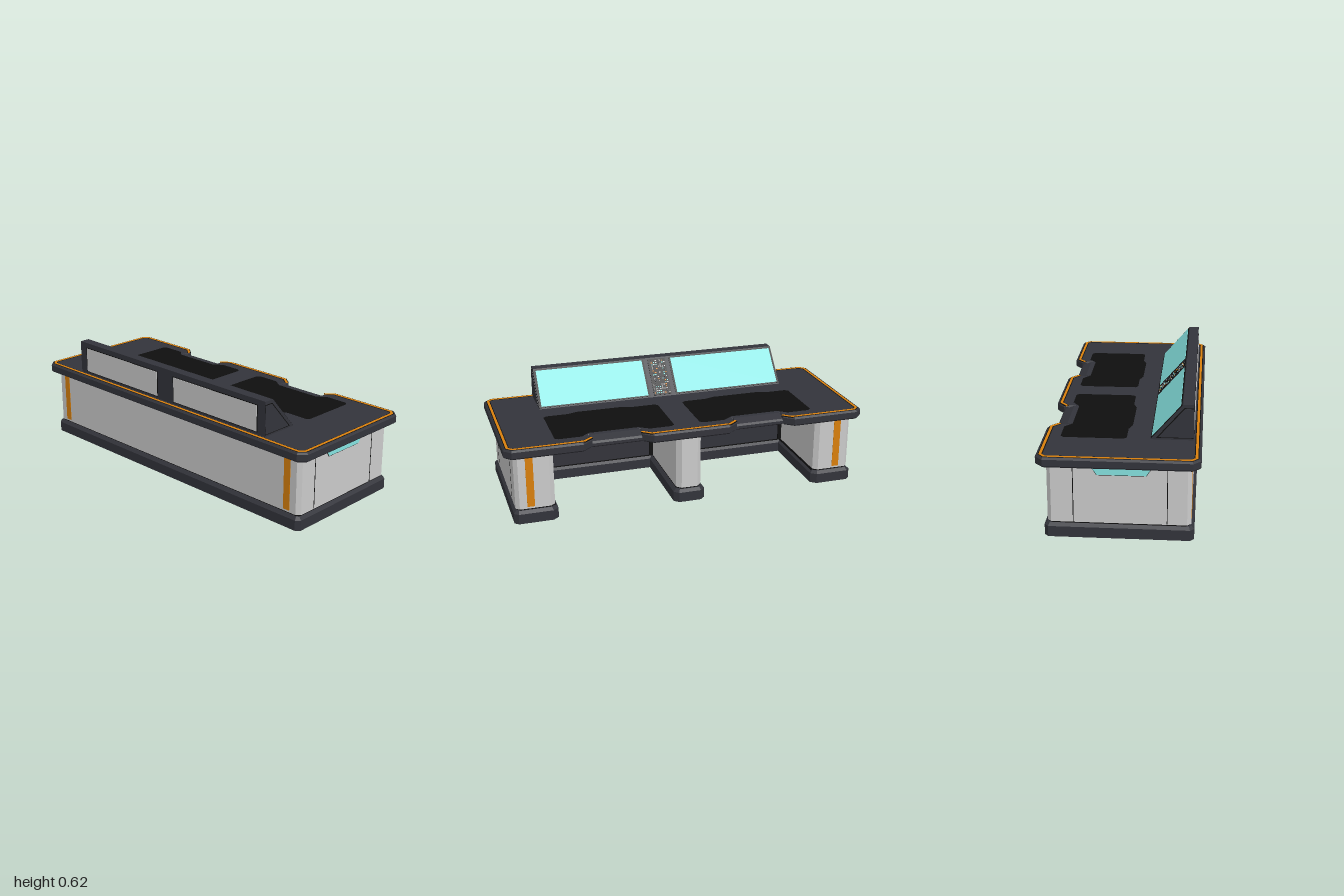
import * as THREE from 'three';

const mat = (color) => new THREE.MeshStandardMaterial({ color, side: THREE.DoubleSide });
const GREY = mat(0xcccccc), DARK = mat(0x33343b), BLACK = mat(0x0f0f0f);
const ORANGE = mat(0xd9800c), TEAL = mat(0x86e4e1), WHITE = mat(0xe6e6e6);

export function createModel() {
  const root = new THREE.Group();
  root.name = 'consoleDesk';

  const add = (name, geo, material, parent = root) => {
    const m = new THREE.Mesh(geo, material);
    m.name = name;
    parent.add(m);
    return m;
  };
  const box = (name, material, size, pos, parent) => {
    const m = add(name, new THREE.BoxGeometry(...size), material, parent);
    m.position.set(...pos);
    return m;
  };
  const toShape = (pts) => new THREE.Shape(pts.map(([a, b]) => new THREE.Vector2(a, b)));
  // completes an outline given for z > 0 with its mirror image
  const mirrorZ = (half) => [...half, ...half.map(([x, z]) => [x, -z]).reverse()];

  // flat slab from a plan outline [x, z], between heights y0 and y1
  const slab = (name, material, pts, y0, y1, bevel = 0) => {
    const geo = new THREE.ExtrudeGeometry(toShape(pts.map(([x, z]) => [x, -z])), {
      depth: y1 - y0 - 2 * bevel, bevelEnabled: bevel > 0, bevelSegments: 1,
      bevelSize: bevel, bevelThickness: bevel, bevelOffset: -bevel,
    });
    geo.rotateX(-Math.PI / 2).translate(0, y0 + bevel, 0);
    return add(name, geo, material);
  };
  // side profile [x, y] extruded from z0 to z1
  const prism = (name, material, pts, z0, z1) => {
    const geo = new THREE.ExtrudeGeometry(toShape(pts), { depth: z1 - z0, bevelEnabled: false });
    return add(name, geo.translate(0, 0, z0), material);
  };
  // moves an open path sideways by d with mitred corners
  const offset = (path, d) => path.map((p, i) => {
    const normal = (a, b) => {
      const l = Math.hypot(b[0] - a[0], b[1] - a[1]);
      return [-(b[1] - a[1]) / l, (b[0] - a[0]) / l];
    };
    const n0 = normal(path[Math.max(i - 1, 0)], path[Math.max(i, 1)]);
    const last = path.length - 1;
    const n1 = normal(path[Math.min(i, last - 1)], path[Math.min(i + 1, last)]);
    const k = d / (1 + n0[0] * n1[0] + n0[1] * n1[1]);
    return [p[0] + (n0[0] + n1[0]) * k, p[1] + (n0[1] + n1[1]) * k];
  });
  const ribbon = (name, material, path, width, y0, y1) =>
    slab(name, material, [...offset(path, width / 2), ...offset(path, -width / 2).reverse()], y0, y1);

  // E-shaped plinth with a bevelled top edge
  const plinth = mirrorZ([
    [-0.37, 0.94], [-0.35, 0.962], [0.345, 0.962], [0.365, 0.94], [0.365, 0.755], [0.34, 0.725],
    [-0.125, 0.725], [-0.125, 0.088], [0.34, 0.088], [0.365, 0.062],
  ]);
  slab('plinth', DARK, plinth, 0, 0.036);
  slab('plinthTop', DARK, plinth, 0.02, 0.07, 0.015);

  // cabinet: back wall with two end legs and a middle leg
  const body = mirrorZ([
    [-0.355, 0.93], [-0.335, 0.95], [0.33, 0.95], [0.35, 0.93], [0.35, 0.765], [0.33, 0.74],
    [-0.14, 0.74], [-0.14, 0.07], [0.325, 0.07], [0.35, 0.045],
  ]);
  slab('shadowGap', BLACK, body.map(([x, z]) => [x * 0.985, z * 0.995]), 0.065, 0.078);
  slab('cabinet', GREY, body, 0.077, 0.382);

  for (const s of [1, -1]) {
    // knee space back panel and its corner trims
    box('kneePanel', DARK, [0.008, 0.305, 0.67], [-0.136, 0.23, s * 0.405]);
    for (const z of [0.08, 0.73])
      box('kneeCornerTrim', BLACK, [0.02, 0.305, 0.02], [-0.132, 0.23, s * z]);
    // coloured stripes on the end legs and back corners
    for (const x of [0.35, -0.355])
      box('legStripe', ORANGE, [0.004, 0.285, 0.04], [x, 0.23, s * 0.87]);
    // end panel seams
    for (const x of [-0.238, 0.221])
      box('panelSeam', BLACK, [0.004, 0.303, 0.002], [x, 0.23, s * 0.95]);
    // end light with its dark frame
    const light = (name, material, g, d) => prism(name, material,
      [[-0.162 - g, 0.374 + g / 2], [0.132 + g, 0.374 + g / 2], [0.103 + g / 2, 0.333 - g], [-0.134 - g / 2, 0.333 - g]],
      s * 0.95 - d, s * 0.95 + d);
    light('endLightFrame', BLACK, 0.003, 0.002);
    light('endLight', TEAL, 0, 0.004);
  }

  // table top with two notches on the seated side
  slab('tableTop', DARK, mirrorZ([
    [-0.398, 0.962], [-0.36, 1], [0.36, 1], [0.398, 0.962], [0.398, 0.588], [0.355, 0.535],
    [0.298, 0.535], [0.298, 0.265], [0.355, 0.265], [0.398, 0.212],
  ]), 0.38, 0.431, 0.009);

  // inlaid edge trim, broken at the notches
  const trims = [
    mirrorZ([[0.338, 0.535], [0.375, 0.58], [0.375, 0.953], [0.352, 0.977], [-0.352, 0.977], [-0.375, 0.953]]),
    mirrorZ([[0.338, 0.265], [0.375, 0.218]]),
  ];
  for (const path of trims) {
    ribbon('edgeTrimGroove', BLACK, path, 0.022, 0.428, 0.4315);
    ribbon('edgeTrim', ORANGE, path, 0.013, 0.428, 0.433);
  }

  for (const s of [1, -1]) {
    // sloped wrist rest in each notch
    prism('wristRest', DARK,
      [[0.28, 0.385], [0.28, 0.431], [0.3, 0.431], [0.346, 0.413], [0.355, 0.403], [0.355, 0.388], [0.348, 0.381]],
      s * 0.4 - 0.136, s * 0.4 + 0.136);
    // work mat
    slab('workMat', BLACK, [
      [-0.022, 0.705], [-0.007, 0.722], [0.295, 0.722], [0.31, 0.705], [0.31, 0.58], [0.272, 0.535],
      [0.272, 0.265], [0.31, 0.21], [0.31, 0.09], [0.295, 0.072], [-0.007, 0.072], [-0.022, 0.09],
      [-0.022, 0.215], [-0.04, 0.27], [-0.04, 0.53], [-0.022, 0.585],
    ].map(([x, z]) => [x, s * z]), 0.428, 0.4325);
  }

  // raised console with a sloped face
  prism('consoleHousing', DARK, [[-0.355, 0.425], [-0.355, 0.616], [-0.3, 0.616], [-0.14, 0.431], [-0.14, 0.425]], -0.72, 0.72);
  for (const s of [1, -1]) {
    const end = (name, material, g, d) => prism(name, material,
      [[-0.354, 0.44 + g], [-0.354, 0.599 - g], [-0.306 - g, 0.599 - g], [-0.169 - 2.5 * g, 0.44 + g]],
      s * 0.72 - d, s * 0.72 + d);
    end('consoleEndFrame', BLACK, 0, 0.0015);
    end('consoleEndPanel', DARK, 0.004, 0.003);
    // rear panels
    box('consoleRearFrame', BLACK, [0.003, 0.146, 0.61], [-0.355, 0.515, s * 0.365]);
    box('consoleRearPanel', GREY, [0.006, 0.138, 0.6], [-0.355, 0.515, s * 0.365]);
  }

  // face group: local x runs down the slope, local y points out of it
  const face = new THREE.Group();
  face.name = 'consoleFace';
  face.position.set(-0.22, 0.5235, 0);
  face.rotation.z = -Math.atan2(0.185, 0.16);
  root.add(face);
  for (const s of [1, -1]) {
    box('screenFrame', BLACK, [0.232, 0.004, 0.642], [0, 0, s * 0.397], face);
    box('screen', TEAL, [0.218, 0.007, 0.62], [0, 0, s * 0.397], face);
  }
  box('keypad', BLACK, [0.225, 0.006, 0.105], [0, 0, 0], face);

  // keypad buttons in scattered colours
  let seed = 7;
  const rand = () => (seed = (seed * 16807) % 2147483647) / 2147483647;
  const palette = [TEAL, ORANGE, GREY, WHITE, DARK, DARK];
  for (let i = 0; i < 17; i++) {
    for (let j = 0; j < 8; j++) {
      if (rand() < 0.3) continue;
      const m = palette[Math.floor(rand() * palette.length)];
      box('button', m, [0.006, 0.004, 0.004 + rand() * 0.006], [(i - 8) * 0.0125, 0.003, (j - 3.5) * 0.0125], face);
    }
  }
  return root;
}
